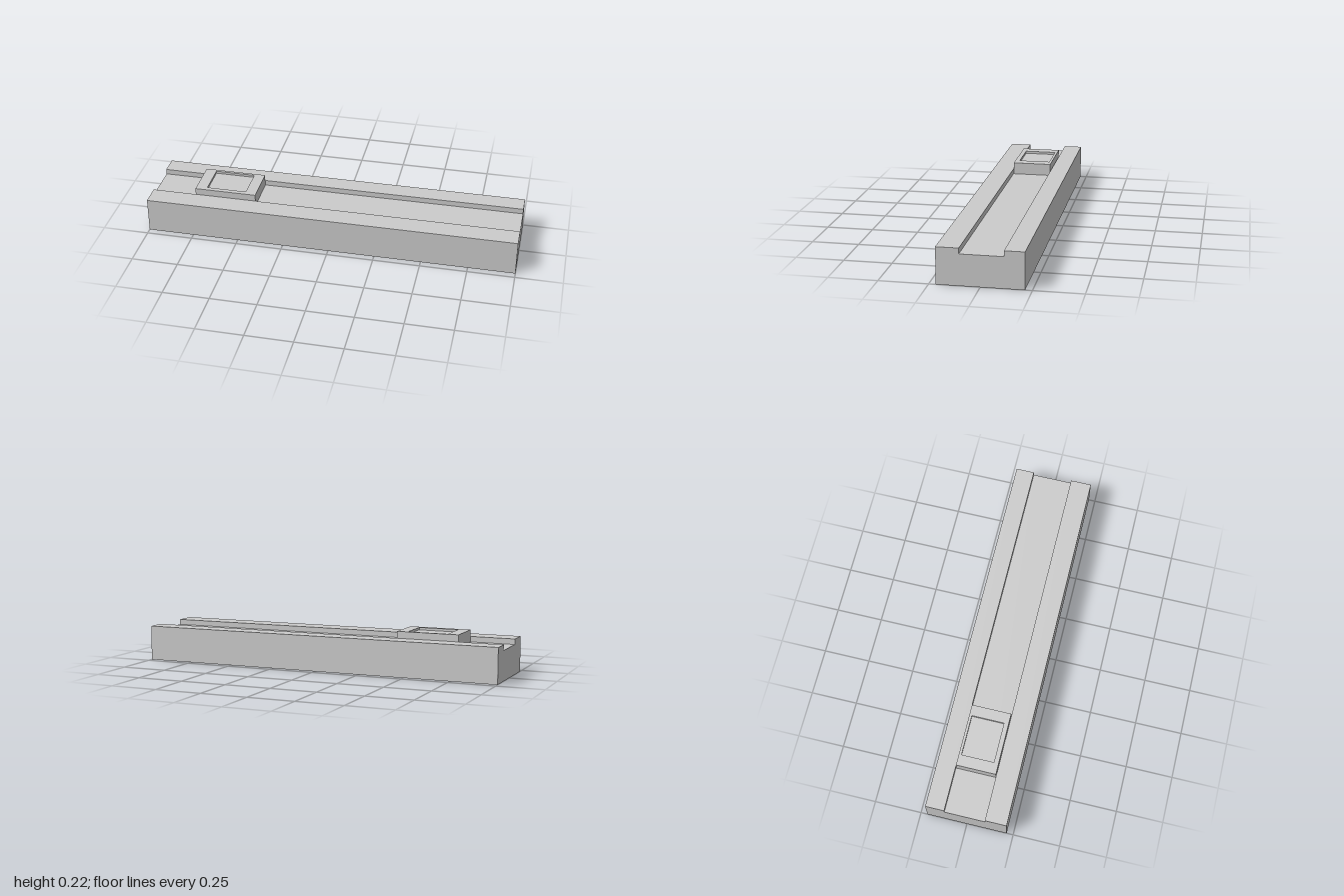
import * as THREE from 'three';

const material = new THREE.MeshStandardMaterial({ color: 0xcccccc, flatShading: true });

function addMesh(parent, name, geometry) {
  const mesh = new THREE.Mesh(geometry, material);
  mesh.name = name;
  parent.add(mesh);
  return mesh;
}

const rectangle = (Type, x0, y0, x1, y1) => new Type([
  [x0, y0], [x1, y0], [x1, y1], [x0, y1],
].map(([x, y]) => new THREE.Vector2(x, y)));

export function createModel() {
  const group = new THREE.Group();
  group.name = 'slideSwitch';

  const floorY = 0.16; // bottom of the channel

  // Rail: cross-section with a channel, drawn as (-z, y) and extruded along x
  const profile = new THREE.Shape([
    [-0.215, 0], [0.215, 0], [0.215, 0.189], [0.115, 0.189],
    [0.115, floorY], [-0.101, floorY], [-0.101, 0.189], [-0.215, 0.189],
  ].map(([x, y]) => new THREE.Vector2(x, y)));
  const railGeometry = new THREE.ExtrudeGeometry(profile, { depth: 2, bevelEnabled: false });
  railGeometry.rotateY(Math.PI / 2).translate(-1, 0, 0);
  addMesh(group, 'channelRail', railGeometry);

  // Slider: solid base with a frame around a shallow recess
  const slider = new THREE.Group();
  slider.name = 'slider';
  group.add(slider);
  const x0 = -0.76, x1 = -0.425, zBack = -0.112, zFront = 0.1;
  const topY = 0.225, recessY = 0.212;

  const base = addMesh(slider, 'sliderBase',
    new THREE.BoxGeometry(x1 - x0, recessY - floorY, zFront - zBack));
  base.position.set((x0 + x1) / 2, (floorY + recessY) / 2, (zBack + zFront) / 2);

  // Frame is drawn as (x, -z) and laid flat
  const frame = rectangle(THREE.Shape, x0, -zFront, x1, -zBack);
  frame.holes.push(rectangle(THREE.Path, -0.7, -0.075, -0.483, 0.098));
  const frameGeometry = new THREE.ExtrudeGeometry(frame, { depth: topY - recessY, bevelEnabled: false });
  frameGeometry.rotateX(-Math.PI / 2).translate(0, recessY, 0);
  addMesh(slider, 'sliderFrame', frameGeometry);

  return group;
}
